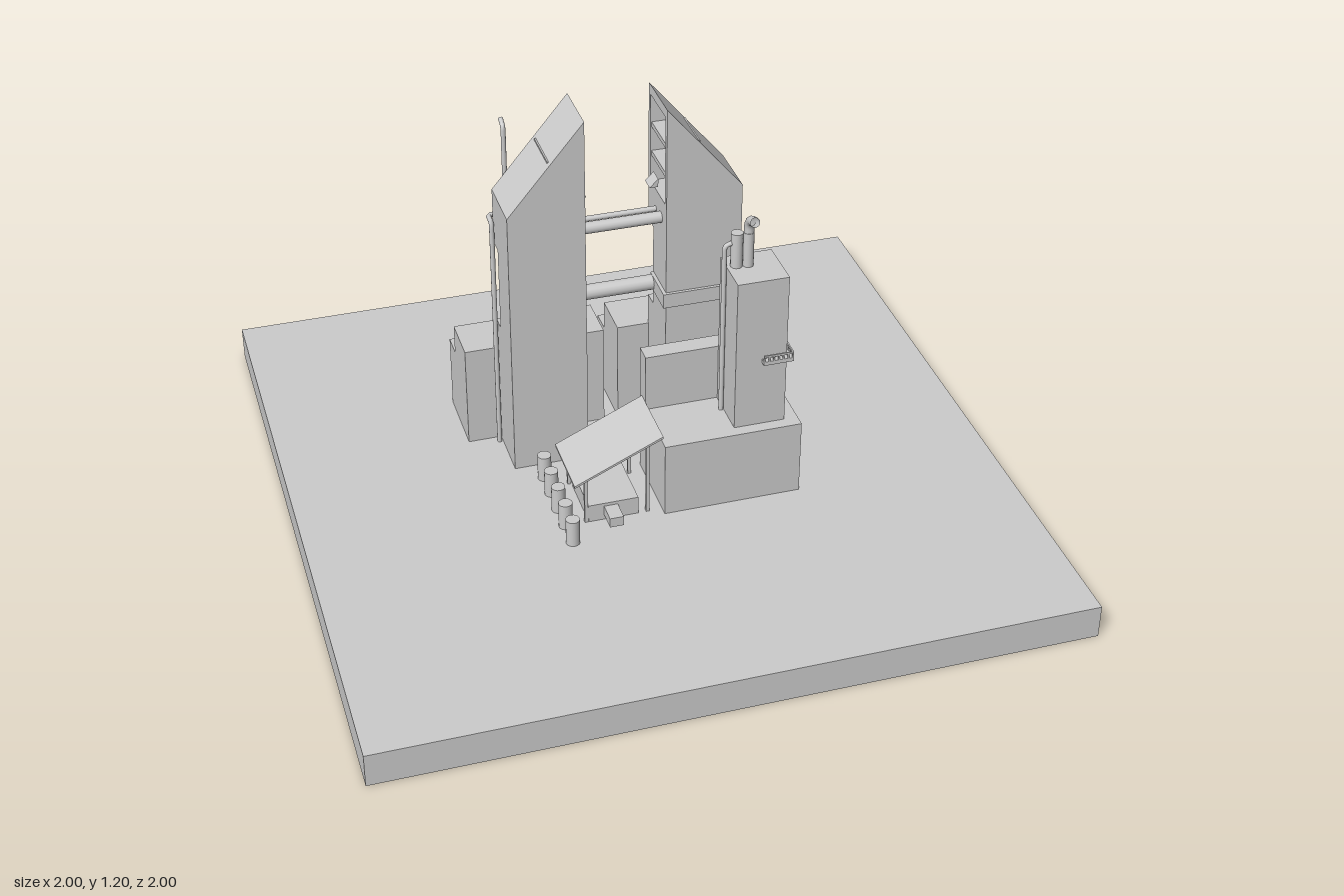
import * as THREE from 'three';

const grey = new THREE.MeshStandardMaterial({ color: 0xcccccc });
const greyBoth = new THREE.MeshStandardMaterial({ color: 0xcccccc, side: THREE.DoubleSide });

function add(parent, name, geometry, material = grey) {
  const mesh = new THREE.Mesh(geometry, material);
  mesh.name = name;
  parent.add(mesh);
  return mesh;
}

// Box given by its limits along each axis
function box(parent, name, x0, x1, y0, y1, z0, z1) {
  const mesh = add(parent, name, new THREE.BoxGeometry(x1 - x0, y1 - y0, z1 - z0));
  mesh.position.set((x0 + x1) / 2, (y0 + y1) / 2, (z0 + z1) / 2);
  return mesh;
}

function upright(parent, name, x, z, y0, y1, r) {
  const mesh = add(parent, name, new THREE.CylinderGeometry(r, r, y1 - y0, 16));
  mesh.position.set(x, (y0 + y1) / 2, z);
}

function crossbar(parent, name, x0, x1, y, z, r) {
  const mesh = add(parent, name, new THREE.CylinderGeometry(r, r, x1 - x0, 16));
  mesh.rotation.z = Math.PI / 2;
  mesh.position.set((x0 + x1) / 2, y, z);
}

// Profile in x and y, pulled from z0 to z1
function slab(parent, name, points, z0, z1) {
  const shape = new THREE.Shape(points.map(([x, y]) => new THREE.Vector2(x, y)));
  const geometry = new THREE.ExtrudeGeometry(shape, { depth: z1 - z0, bevelEnabled: false });
  geometry.translate(0, 0, z0);
  return add(parent, name, geometry);
}

// Pipe with straight runs and tight bends
function pipe(parent, name, points, r, bend = 0.02) {
  const p = points.map((a) => new THREE.Vector3(...a));
  const path = new THREE.CurvePath();
  let from = p[0];
  for (let i = 1; i < p.length - 1; i++) {
    const before = p[i].clone().add(p[i - 1].clone().sub(p[i]).setLength(bend));
    const after = p[i].clone().add(p[i + 1].clone().sub(p[i]).setLength(bend));
    path.add(new THREE.LineCurve3(from, before));
    path.add(new THREE.QuadraticBezierCurve3(before, p[i], after));
    from = after;
  }
  path.add(new THREE.LineCurve3(from, p[p.length - 1]));
  add(parent, name, new THREE.TubeGeometry(path, 90, r, 10), greyBoth);
}

// Slant-topped tower; its inner face stands at x = inner, side is the outward direction
function tower(parent, name, inner, side) {
  const group = new THREE.Group();
  group.name = name;
  parent.add(group);
  const at = (list) => list.map(([u, y]) => [inner + side * u, y]);
  const full = (y) => at([[0, y], [0.22, y], [0.22, 0.935], [0, 1.2]]);
  const hollow = (y) => at([[0, y], [0.22, y], [0.22, 0.935], [0, 1.2],
    [0, 1.17], [0.1, 1.05], [0.1, 0.9], [0, 0.9]]);
  slab(group, 'towerFrontWall', full(0.1), -0.062, -0.045);
  slab(group, 'towerCore', hollow(0.1), -0.17, -0.062);
  slab(group, 'towerOverhang', hollow(0.765), -0.2, -0.17);
  slab(group, 'towerBackWall', full(0.765), -0.218, -0.2);
  slab(group, 'towerFoot', at([[0, 0.1], [0.22, 0.1], [0.22, 0.51], [0, 0.51]]), -0.218, -0.17);
  // Shelves inside the open niche
  for (const y of [0.98, 1.07]) {
    slab(group, 'nicheShelf', at([[0.003, y], [0.1, y], [0.1, y + 0.015], [0.003, y + 0.015]]), -0.2, -0.062);
  }
  slab(group, 'innerBracket', at([[0, 0.92], [-0.025, 0.92], [0, 0.945]]), -0.17, -0.125);
}

export function createModel() {
  const model = new THREE.Group();
  model.name = 'industrialPlant';

  // Ground plate, open underneath
  const plate = new THREE.BoxGeometry(2, 0.1, 2);
  const index = Array.from(plate.index.array);
  index.splice(18, 6);
  plate.setIndex(index);
  plate.clearGroups();
  add(model, 'basePlate', plate, greyBoth).position.y = 0.05;

  // Twin towers and the links between them
  tower(model, 'rightTower', -0.132, -1);
  tower(model, 'leftTower', 0.1, 1);
  crossbar(model, 'upperBridge', -0.14, 0.11, 0.838, -0.1, 0.017);
  crossbar(model, 'thinBridge', -0.14, 0.11, 0.838, -0.148, 0.008);
  crossbar(model, 'lowerBridge', -0.14, 0.11, 0.597, -0.148, 0.0225);
  box(model, 'towerCollar', 0.09, 0.322, 0.575, 0.62, -0.165, -0.036);

  // Stepped halls at the back
  for (const [x0, x1] of [[-0.45, -0.037], [0.005, 0.417]]) {
    box(model, 'hallUpper', x0, x1, 0.1, 0.415, -0.355, -0.212);
    box(model, 'hallLower', x0, x1, 0.1, 0.325, -0.427, -0.355);
  }

  // Drain pipe climbing the outer tower side
  pipe(model, 'ventPipe', [[-0.362, 0.1, -0.192], [-0.362, 0.845, -0.192], [-0.362, 0.845, -0.235],
    [-0.31, 0.845, -0.235], [-0.31, 1.115, -0.235], [-0.31, 1.127, -0.262]], 0.007, 0.01);

  // Front building with its stack tower
  box(model, 'frontHall', 0, 0.4, 0.1, 0.33, 0.035, 0.28);
  box(model, 'frontHallRear', 0, 0.4, 0.33, 0.505, 0.035, 0.09);
  box(model, 'stackTower', 0.212, 0.36, 0.33, 0.8, 0.093, 0.245);
  upright(model, 'chimney', 0.24, 0.147, 0.8, 0.905, 0.017);
  upright(model, 'exhaustBase', 0.272, 0.152, 0.8, 0.905, 0.015);
  pipe(model, 'exhaustPipe', [[0.272, 0.9, 0.152], [0.272, 0.945, 0.152], [0.272, 0.96, 0.2]], 0.014, 0.03);
  pipe(model, 'sidePipe', [[0.205, 0.33, 0.147], [0.205, 0.87, 0.147], [0.235, 0.875, 0.147]], 0.007, 0.015);

  // Corner balcony with railing
  const balcony = new THREE.Group();
  balcony.name = 'balcony';
  model.add(balcony);
  for (const [name, y0, y1] of [['balconyFloor', 0.535, 0.547], ['balconyRail', 0.56, 0.566]]) {
    const w = name === 'balconyFloor' ? 0.018 : 0.004;
    box(balcony, name, 0.288, 0.375, y0, y1, 0.262 - w, 0.262);
    box(balcony, name, 0.375 - w, 0.375, y0, y1, 0.155, 0.262);
  }
  for (let i = 0; i < 7; i++) {
    const t = i / 6;
    box(balcony, 'railPost', 0.288 + t * 0.083, 0.292 + t * 0.083, 0.547, 0.56, 0.258, 0.262);
    box(balcony, 'railPost', 0.371, 0.375, 0.547, 0.56, 0.155 + t * 0.1, 0.159 + t * 0.1);
  }

  // Lean-to canopy on posts, sheltering a machine
  slab(model, 'canopy', [[-0.256, 0.229], [0, 0.347], [0, 0.354], [-0.256, 0.236]], 0.053, 0.262);
  for (const z of [0.065, 0.25]) {
    box(model, 'canopyPost', -0.226, -0.216, 0.1, 0.247, z - 0.005, z + 0.005);
    box(model, 'canopyPost', -0.047, -0.037, 0.1, 0.33, z - 0.005, z + 0.005);
  }
  box(model, 'machine', -0.215, -0.07, 0.1, 0.155, 0.08, 0.255);
  box(model, 'machineOutlet', -0.17, -0.13, 0.115, 0.145, 0.255, 0.315);

  // Row of drums
  for (let i = 0; i < 5; i++) upright(model, 'drum', -0.281, 0.02 + i * 0.0775, 0.1, 0.18, 0.02);

  return model;
}
